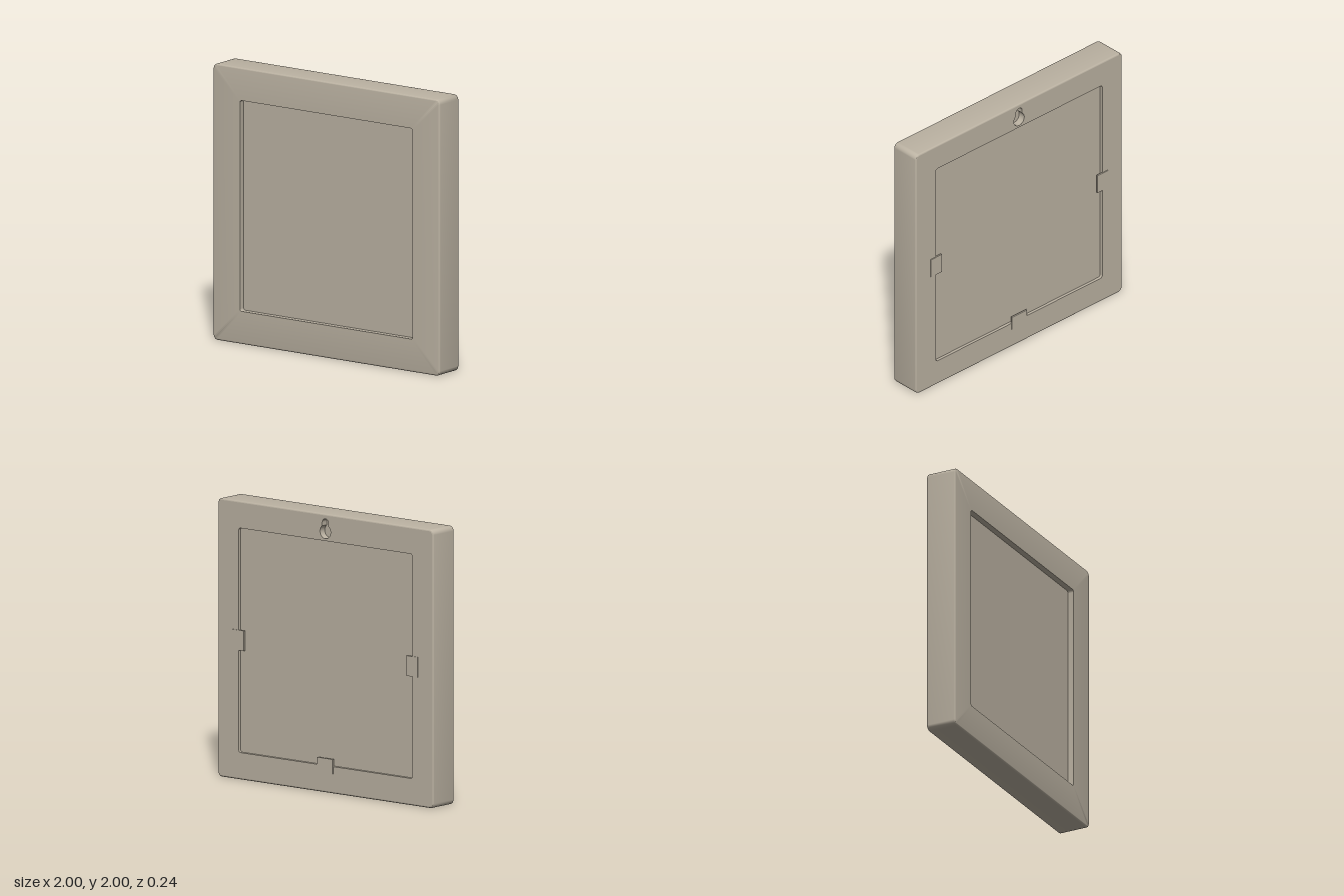
import * as THREE from 'three';
import { toCreasedNormals } from 'three/addons/utils/BufferGeometryUtils.js';

const FRONT = 0.118, BACK = -0.112, BEVEL = 0.012;

// Points along an arc, angles in radians
function arc(cx, cy, r, from, to, n) {
  const pts = [];
  for (let i = 0; i <= n; i++) {
    const a = from + (to - from) * i / n;
    pts.push(new THREE.Vector2(cx + r * Math.cos(a), cy + r * Math.sin(a)));
  }
  return pts;
}

// Square outline with rounded corners, centred on y = 1
function roundedSquare(half, r) {
  const c = half - r, q = Math.PI / 2;
  return [[1, 1], [-1, 1], [-1, -1], [1, -1]].flatMap(([sx, sy], i) =>
    arc(sx * c, 1 + sy * c, r, i * q, (i + 1) * q, 6));
}

// Skin through a list of [outline, z] cross-sections
function loft(rings) {
  const n = rings[0][0].length, pos = [], idx = [];
  for (const [pts, z] of rings) for (const p of pts) pos.push(p.x, p.y, z);
  for (let i = 0; i < rings.length - 1; i++) {
    for (let j = 0; j < n; j++) {
      const a = i * n + j, b = i * n + (j + 1) % n;
      idx.push(a, a + n, b, b, a + n, b + n);
    }
  }
  const g = new THREE.BufferGeometry();
  g.setAttribute('position', new THREE.Float32BufferAttribute(pos, 3));
  g.setIndex(idx);
  return toCreasedNormals(g, 0.7);
}

// Flat face looking towards -z
function backFace(outline, holes, z) {
  const shape = new THREE.Shape(outline);
  shape.holes = holes.map(h => new THREE.Path(h));
  return new THREE.ShapeGeometry(shape).rotateY(Math.PI).translate(0, 0, z);
}

export function createModel() {
  const model = new THREE.Group();
  model.name = 'pictureFrame';
  const beige = new THREE.MeshStandardMaterial({ color: 0xbbb2a2 });
  beige.name = 'warmBeige';
  const add = (name, geometry, parent = model) => {
    const mesh = new THREE.Mesh(geometry, beige);
    mesh.name = name;
    parent.add(mesh);
    return mesh;
  };

  // Frame: front opening, front face, rounded outer edges
  const opening = roundedSquare(0.763, 0.016);
  const recess = roundedSquare(0.806, 0.018);
  const rings = [[opening, 0.07], [opening, FRONT]];
  const edge = (t, z, s) => {
    const inset = BEVEL * (1 - Math.sin(t));
    rings.push([roundedSquare(1 - inset, 0.036 - inset), z - s * BEVEL * (1 - Math.cos(t))]);
  };
  for (let i = 0; i <= 4; i++) edge(i * Math.PI / 8, FRONT, 1);
  for (let i = 4; i >= 0; i--) edge(i * Math.PI / 8, BACK, -1);
  add('frame', loft(rings));

  // Hanging keyhole outline: round entry with a narrower slot above
  const a = Math.acos(0.6);
  const keyhole = [
    ...arc(0, 1.872, 0.05, Math.PI - a, 2 * Math.PI + a, 24),
    ...arc(0, 1.935, 0.03, 0, Math.PI, 12),
  ];

  // Back of the frame and its recess
  add('frameBack', backFace(rings.at(-1)[0], [recess, keyhole], BACK));
  add('backRecessWall', loft([[recess, BACK], [recess, -0.08]]));

  // Keyhole pocket
  add('keyholeWall', loft([[keyhole, BACK], [keyhole, -0.06]]));
  add('keyholeFloor', backFace(keyhole, [], -0.06));

  // Panel held in the frame
  add('panel', new THREE.BoxGeometry(1.612, 1.612, 0.163)).position.set(0, 1, -0.0085);

  // Retaining clips on both sides and the bottom
  const clips = new THREE.Group();
  clips.name = 'clips';
  model.add(clips);
  for (const [name, x, y, w, h] of [
    ['leftClip', 0.806, 1, 0.105, 0.145],
    ['rightClip', -0.806, 1, 0.105, 0.145],
    ['bottomClip', 0, 0.194, 0.145, 0.105],
  ]) {
    add(name, new THREE.BoxGeometry(w, h, 0.012), clips).position.set(x, y, -0.112);
  }
  return model;
}
